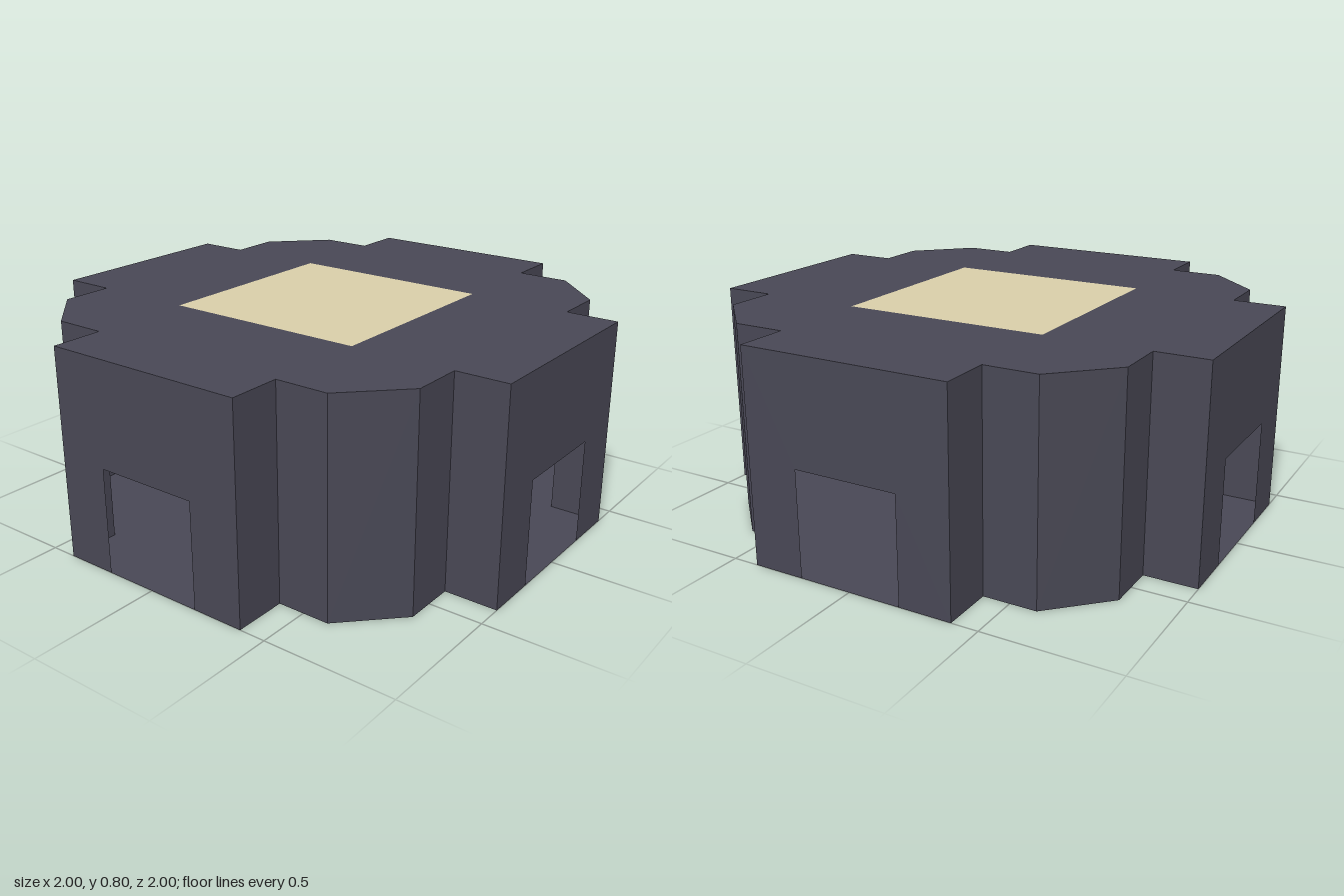
import * as THREE from 'three';

const HEIGHT = 0.8;

// One quarter of the plan, from the front doorway to the side doorway, as [x, z]
const QUARTER = [[0.4, 1], [0.4, 0.8], [0.6, 0.8], [0.8, 0.6], [0.8, 0.4], [1, 0.4]];

const stone = new THREE.MeshStandardMaterial({ color: 0x484754, side: THREE.DoubleSide });
stone.name = 'darkStone';
const sand = new THREE.MeshStandardMaterial({ color: 0xd8cda8, side: THREE.DoubleSide });
sand.name = 'paleSand';

function addMesh(parent, name, geometry, material) {
  const mesh = new THREE.Mesh(geometry, material);
  mesh.name = name;
  parent.add(mesh);
  return mesh;
}

// Full plan outline: the quarter turned four times
function planShape() {
  const points = [];
  for (let i = 0; i < 4; i++) {
    for (const [x, z] of QUARTER) {
      points.push(new THREE.Vector2(x, z).rotateAround(new THREE.Vector2(), -i * Math.PI / 2));
    }
  }
  return new THREE.Shape(points);
}

function squarePath(half) {
  return new THREE.Path([[-half, -half], [half, -half], [half, half], [-half, half]]
    .map(([x, y]) => new THREE.Vector2(x, y)));
}

// End wall with a doorway cut up from the ground
function doorWallGeometry() {
  const shape = new THREE.Shape([
    [-0.4, 0], [-0.2, 0], [-0.2, 0.4], [0.2, 0.4], [0.2, 0], [0.4, 0], [0.4, HEIGHT], [-0.4, HEIGHT],
  ].map(([x, y]) => new THREE.Vector2(x, y)));
  return new THREE.ShapeGeometry(shape).translate(0, 0, 1);
}

// Upright panel between two plan points, facing outward
function panelGeometry([x0, z0], [x1, z1]) {
  const dx = x1 - x0, dz = z1 - z0;
  return new THREE.PlaneGeometry(Math.hypot(dx, dz), HEIGHT)
    .rotateY(Math.atan2(-dz, dx))
    .translate((x0 + x1) / 2, HEIGHT / 2, (z0 + z1) / 2);
}

export function createModel() {
  const model = new THREE.Group();
  model.name = 'hollowPavilion';

  // Thin walls, the same on all four sides
  for (let i = 0; i < 4; i++) {
    const side = new THREE.Group();
    side.name = 'wallQuarter' + (i + 1);
    side.rotation.y = i * Math.PI / 2;
    addMesh(side, 'doorWall', doorWallGeometry(), stone);
    for (let j = 0; j < QUARTER.length - 1; j++) {
      addMesh(side, 'wallPanel' + (j + 1), panelGeometry(QUARTER[j], QUARTER[j + 1]), stone);
    }
    model.add(side);
  }

  // Floor, facing down
  addMesh(model, 'floor', new THREE.ShapeGeometry(planShape()).rotateX(Math.PI / 2), stone);

  // Roof with a square opening
  const roof = planShape();
  roof.holes.push(squarePath(0.4));
  addMesh(model, 'roof', new THREE.ShapeGeometry(roof).rotateX(-Math.PI / 2).translate(0, HEIGHT, 0), stone);

  // Pale panel filling the opening
  addMesh(model, 'roofPanel',
    new THREE.PlaneGeometry(0.8, 0.8).rotateX(-Math.PI / 2).translate(0, HEIGHT, 0), sand);

  return model;
}
